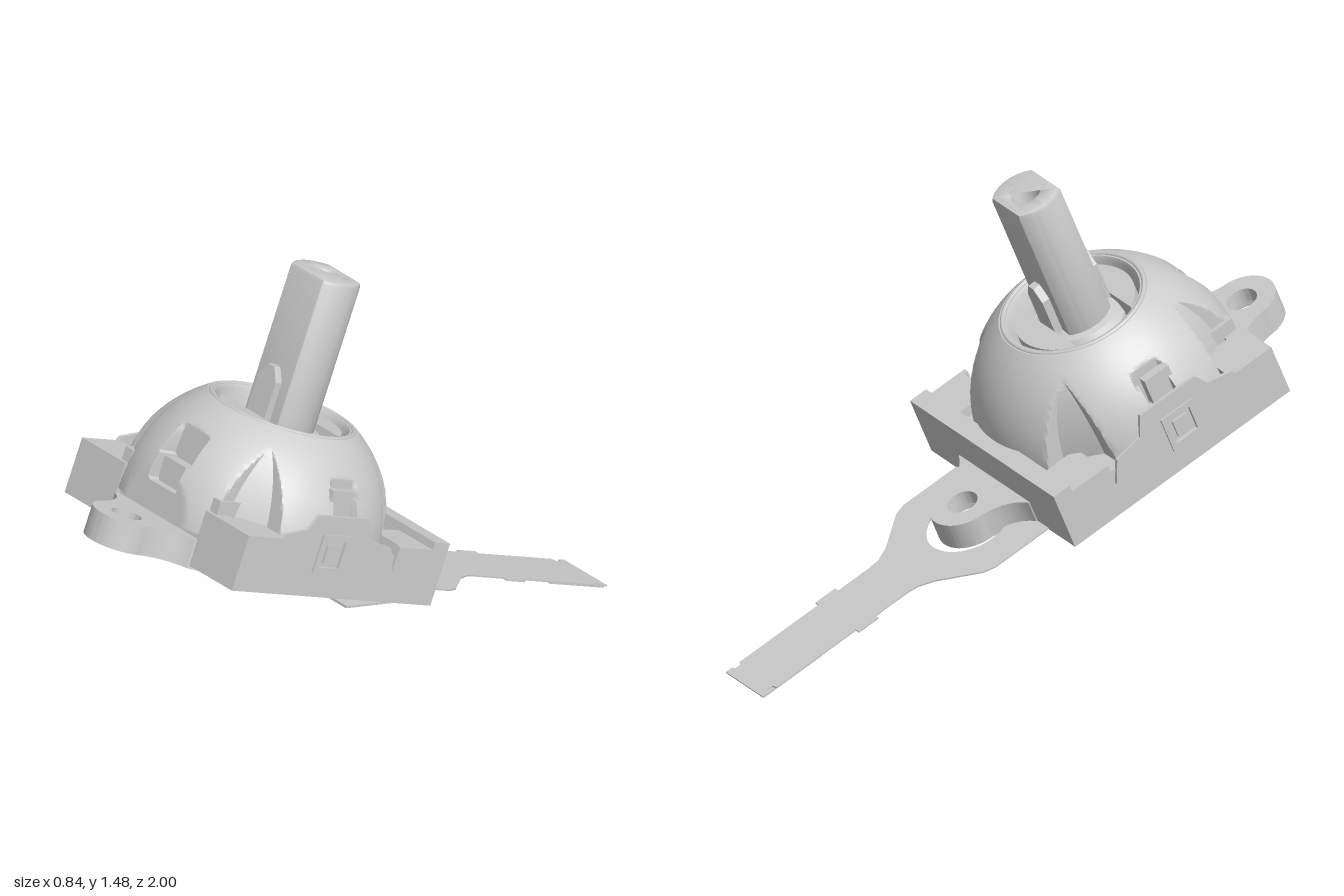
import * as THREE from 'three';
import { toCreasedNormals } from 'three/addons/utils/BufferGeometryUtils.js';

const material = new THREE.MeshStandardMaterial({ color: 0xcccccc, side: THREE.DoubleSide });
const AXIS = 0.04; // fore-aft offset of the dome and stick

export function createModel() {
  const model = new THREE.Group();
  model.name = 'tiltedJoystickModule';
  const body = new THREE.Group();
  body.name = 'module';
  body.position.set(0, 0.577, 0.368);
  body.rotation.x = -Math.PI / 8;
  model.add(body);

  const add = (name, geometry, x = 0, y = 0, z = 0) => {
    const mesh = new THREE.Mesh(geometry, material);
    mesh.name = name;
    mesh.position.set(x, y, z);
    body.add(mesh);
    return mesh;
  };
  // box given by its ranges
  const box = (name, x0, x1, y0, y1, z0, z1) =>
    add(name, new THREE.BoxGeometry(x1 - x0, y1 - y0, z1 - z0), (x0 + x1) / 2, (y0 + y1) / 2, (z0 + z1) / 2);
  // plan outline (x, z) extruded between two heights
  const slab = (name, shape, y0, y1, options = {}) => {
    const g = new THREE.ExtrudeGeometry(shape, { depth: y1 - y0, bevelEnabled: false, curveSegments: 24, ...options });
    g.rotateX(Math.PI / 2);
    return add(name, toCreasedNormals(g, 0.5), 0, y1, 0);
  };
  const poly = (pts) => new THREE.Shape(pts.map(([x, y]) => new THREE.Vector2(x, y)));
  const circle = (x, y, r) => new THREE.Path().absarc(x, y, r, 0, Math.PI * 2, true);

  // base tray
  box('baseBody', -0.405, 0.405, 0.015, 0.15, -0.42, 0.42);
  box('bottomPlate', -0.415, 0.415, 0, 0.02, -0.435, 0.435);
  box('backWall', -0.415, 0.415, 0.02, 0.21, -0.435, -0.37);
  for (const s of [-1, 1]) {
    const side = (name, x0, x1, ...r) => box(name, Math.min(s * x0, s * x1), Math.max(s * x0, s * x1), ...r);
    side('frontWall', 0.2, 0.415, 0.02, 0.185, 0.37, 0.435);
    side('frontWallStep', 0.2, 0.235, 0.15, 0.23, 0.3, 0.42);
    for (const z of [-0.3, 0.36]) {
      const pad = poly([[0.25, z - 0.07], [0.28, z - 0.09], [0.41, z - 0.09], [0.41, z + 0.06], [0.28, z + 0.06], [0.25, z + 0.03]].map(([x, y]) => [s * x, y]));
      slab('cornerPad', pad, 0.14, 0.185);
      side('cornerSideWall', 0.395, 0.415, 0.02, 0.185, z - 0.1, z + 0.075);
    }
    // raised side plate with latch window
    const plate = poly([[-0.33, 0.01], [0.4, 0.01], [0.4, 0.1], [0.33, 0.12], [0.28, 0.2], [0.19, 0.22],
      [0.16, 0.27], [-0.06, 0.27], [-0.09, 0.2], [-0.19, 0.18], [-0.23, 0.09], [-0.33, 0.08]]);
    plate.holes.push(poly([[0.015, 0.1], [0.015, 0.19], [0.1, 0.19], [0.1, 0.1]]));
    const g = new THREE.ExtrudeGeometry(plate, { depth: 0.012, bevelEnabled: false });
    g.rotateY(-Math.PI / 2);
    add('sidePlate', g, s > 0 ? 0.415 : -0.403);
    side('latchBlock', 0.39, 0.418, 0.115, 0.175, 0.03, 0.085);
    for (const z of [-0.005, 0.1]) side('latchFrameSide', 0.4, 0.422, 0.08, 0.21, z, z + 0.02);
    for (const y of [0.08, 0.19]) side('latchFrameBar', 0.4, 0.422, y, y + 0.02, -0.005, 0.12);
    side('latchTab', 0.355, 0.385, 0.25, 0.345, 0.01, 0.105);
  }

  // dome with a sunken opening; corners, sides and front are cut back by clamping
  const R = 0.44, CY = 0.103, profile = [];
  for (let i = 0; i <= 56; i++) {
    const a = (i / 56) * 0.975;
    profile.push(new THREE.Vector2(R * Math.cos(a), CY + R * Math.sin(a)));
  }
  [[0.222, 0.467], [0.215, 0.455], [0.205, 0.36], [0.0001, 0.34]].forEach(([x, y]) => profile.push(new THREE.Vector2(x, y)));
  const dome = new THREE.LatheGeometry(profile, 192);
  const p = dome.attributes.position;
  for (let i = 0; i < p.count; i++) {
    let x = p.getX(i), z = p.getZ(i);
    const y = p.getY(i), ax = Math.abs(x), az = Math.abs(z);
    if (ax > 0.22 && az > 0.22) {
      if (ax < az) x = Math.sign(x) * 0.22;
      else z = Math.sign(z) * 0.22;
    }
    if (ax < 0.066 && z > 0.335 && y > 0.19) z = 0.335;
    if (az < 0.05 && ax > 0.345 && y > 0.23) x = Math.sign(x) * 0.345;
    p.setXYZ(i, THREE.MathUtils.clamp(x, -0.41, 0.41), y, Math.min(z, 0.415));
  }
  add('dome', toCreasedNormals(dome, 0.6), 0, 0, AXIS);
  const lip = new THREE.TorusGeometry(0.235, 0.008, 8, 72);
  lip.rotateX(Math.PI / 2);
  add('openingLip', lip, 0, 0.465, AXIS);

  // rounded latch in the front notch
  const latch = poly([[-0.055, 0.27], [-0.055, 0.22]]);
  latch.absarc(0, 0.22, 0.055, Math.PI, Math.PI * 2, false);
  latch.lineTo(0.055, 0.27);
  add('frontLatch', new THREE.ExtrudeGeometry(latch, { depth: 0.06, bevelEnabled: false }), 0, 0, AXIS + 0.325);

  // cradle pieces inside the opening, before and behind the stick
  for (const s of [-1, 1]) {
    const seg = new THREE.Shape();
    const a = s > 0 ? 0.58 : Math.PI + 0.58;
    seg.absarc(0, AXIS, 0.2, a, a + Math.PI - 1.16, false);
    seg.closePath();
    slab('cradle', seg, 0.345, 0.45);
  }
  const collar = [[0.15, 0.34], [0.15, 0.4], [0.135, 0.425], [0.09, 0.44]].map(([x, y]) => new THREE.Vector2(x, y));
  add('stickCollar', toCreasedNormals(new THREE.LatheGeometry(collar, 48), 0.5), 0, 0, AXIS);

  // stick: round bar with two flats and a bored top
  const bar = new THREE.Shape(), flat = Math.asin(0.083 / 0.114);
  bar.absarc(0, AXIS, 0.114, -flat, flat, false);
  bar.absarc(0, AXIS, 0.114, Math.PI - flat, Math.PI + flat, false);
  bar.closePath();
  bar.holes.push(circle(0, AXIS, 0.045));
  slab('stick', bar, 0.34, 0.921, { bevelEnabled: true, bevelThickness: 0.015, bevelSize: 0.012, bevelOffset: -0.012, bevelSegments: 2 });
  add('stickBoreFloor', new THREE.CylinderGeometry(0.05, 0.05, 0.02, 24), 0, 0.72, AXIS);
  const rib = poly([[-0.042, 0.38], [0.042, 0.38], [0.042, 0.57], [0.015, 0.615], [-0.015, 0.615], [-0.042, 0.57]]);
  const ribGeometry = new THREE.ExtrudeGeometry(rib, { depth: 0.22, bevelEnabled: false });
  add('stickRibs', ribGeometry, 0, 0, AXIS - 0.11);

  // mounting ears, counterbored from below
  for (const s of [-1, 1]) {
    const ear = (hole) => {
      const e = new THREE.Shape();
      e.moveTo(-0.22, s * 0.41);
      e.lineTo(-0.2, s * 0.44);
      e.quadraticCurveTo(-0.13, s * 0.47, -0.112, s * 0.565);
      e.absarc(0, s * 0.565, 0.112, Math.PI, 0, s > 0);
      e.quadraticCurveTo(0.13, s * 0.47, 0.2, s * 0.44);
      e.lineTo(0.22, s * 0.41);
      e.closePath();
      e.holes.push(circle(0, s * 0.565, hole));
      return e;
    };
    slab('mountingEar', ear(0.05), 0.035, 0.085);
    slab('mountingEarCounterbore', ear(0.085), -0.01, 0.035);
  }

  // flat ribbon cable with a round cut-out for the rear ear
  const half = [[0.265, -0.4], [0.265, -0.65], [0.25, -0.69], [0.14, -0.81], [0.112, -0.86], [0.107, -0.9], [0.107, -1.025],
    [0.125, -1.025], [0.125, -1.105], [0.107, -1.105], [0.107, -1.425], [0.09, -1.43], [0.09, -1.45], [0.107, -1.455], [0.107, -1.48]];
  const ribbon = poly([...half, ...half.map(([x, z]) => [-x, z]).reverse()]);
  ribbon.holes.push(circle(0, -0.575, 0.14));
  slab('ribbonCable', ribbon, 0.002, 0.007);
  box('cableStiffener', -0.1, 0.1, -0.005, 0.002, -1.475, -1.24);

  // underside: dished disc, dimples and sprung tongue
  const disc = [[0.0001, -0.004], [0.13, -0.001], [0.18, -0.008], [0.205, -0.008], [0.215, 0.002]].map(([x, y]) => new THREE.Vector2(x, y));
  add('bottomDisc', new THREE.LatheGeometry(disc, 64), 0, 0, AXIS - 0.01);
  for (const [x, z] of [[0, 0.33], [0, -0.33], [0.32, 0], [-0.32, 0], [0.235, 0.25], [-0.235, 0.25]]) {
    const ring = new THREE.TorusGeometry(0.034, 0.005, 6, 28);
    ring.rotateX(Math.PI / 2);
    add('bottomDimple', ring, x, 0, z + AXIS - 0.01);
  }
  const tongue = new THREE.Group();
  tongue.name = 'springTongue';
  tongue.position.set(0, 0.004, -0.29);
  tongue.rotation.x = 0.15;
  body.add(tongue);
  for (const [x, w, z, d] of [[0.355, 0.11, 0.15, 0.12], [0.31, 0.02, 0.05, 0.1], [0.35, 0.025, 0.06, 0.08], [0.4, 0.02, 0.05, 0.1]]) {
    const finger = new THREE.Mesh(new THREE.BoxGeometry(w, 0.008, d), material);
    finger.name = 'tongueFinger';
    finger.position.set(x, 0, z);
    tongue.add(finger);
  }
  return model;
}
